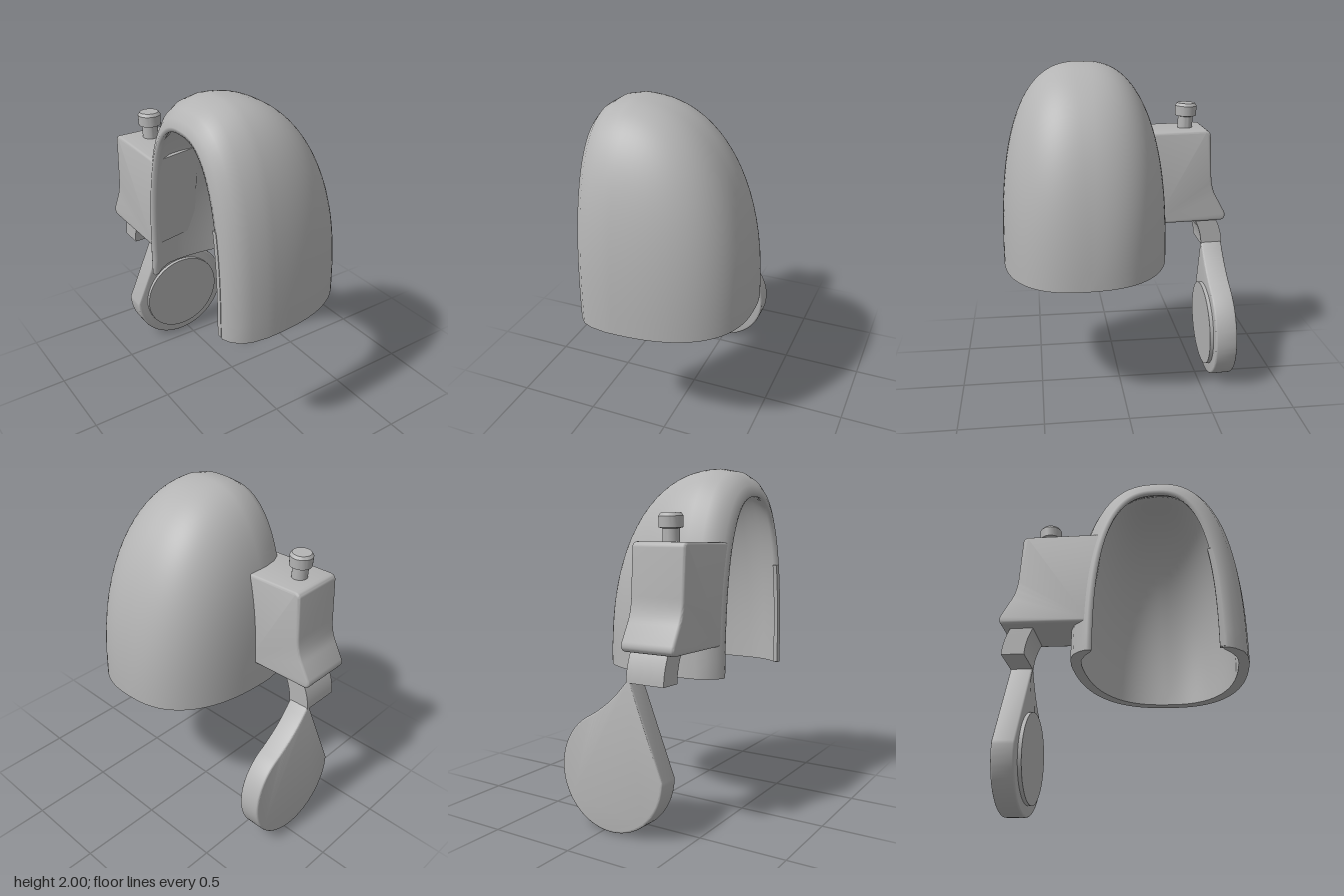
import * as THREE from 'three';
import { toCreasedNormals } from 'three/addons/utils/BufferGeometryUtils.js';

const grey = new THREE.MeshStandardMaterial({ color: 0xb4b4b4, side: THREE.DoubleSide });
grey.name = 'grey';

function add(parent, name, geometry) {
  const mesh = new THREE.Mesh(geometry, grey);
  mesh.name = name;
  parent.add(mesh);
  return mesh;
}

// Apply a rule to every vertex
function bend(geometry, rule) {
  const p = geometry.attributes.position;
  const v = new THREE.Vector3();
  for (let i = 0; i < p.count; i++) {
    v.fromBufferAttribute(p, i);
    rule(v);
    p.setXYZ(i, v.x, v.y, v.z);
  }
  geometry.computeVertexNormals();
  return geometry;
}

// Smooth surface through rows of points
function loft(rows) {
  const n = rows[0].length;
  const index = [];
  for (let i = 0; i < rows.length - 1; i++) {
    for (let j = 0; j < n - 1; j++) {
      const a = i * n + j, b = a + n;
      index.push(a, b, a + 1, b, b + 1, a + 1);
    }
  }
  const g = new THREE.BufferGeometry().setFromPoints(rows.flat());
  g.setIndex(index);
  g.computeVertexNormals();
  return g;
}

// One arch of the shell at x, scaled in height and width
function arch([x, sy, sz]) {
  const points = [];
  const N = 64;
  for (let j = 0; j <= N; j++) {
    const a = (j / N) * Math.PI;
    const c = j === N / 2 ? 0 : Math.cos(a);
    const s = j === N ? 0 : Math.sin(a);
    const z = 0.205 + 0.507 * sz * Math.sign(c) * Math.abs(c) ** 0.78;
    const h = sy * s ** 0.78;
    points.push(new THREE.Vector3(x, 0.805 + 1.195 * h - 0.03 * (z - 0.2) * (1 - h), z));
  }
  return points;
}

// Rounded closed end of the shell, from its tip to its widest arch
function dome(length, height, width) {
  const rows = [];
  for (let i = 0; i <= 24; i++) {
    const t = i === 24 ? 0 : Math.cos((i / 24) * Math.PI / 2);
    rows.push([-0.25 + length * t, height * (1 - t ** 2.25) ** (1 / 2.25), width * (1 - t ** 2.5) ** (1 / 2.5)]);
  }
  return rows;
}

function buildShell(parent) {
  const shell = new THREE.Group();
  shell.name = 'shell';
  parent.add(shell);
  const outer = [...dome(0.708, 1, 1),
    [-0.34, 0.985, 0.975], [-0.40, 0.955, 0.925], [-0.44, 0.915, 0.84], [-0.46, 0.88, 0.76]].map(arch);
  const inner = [...dome(0.648, 0.945, 0.88),
    [-0.32, 0.925, 0.86], [-0.38, 0.89, 0.80], [-0.43, 0.865, 0.72], [-0.457, 0.86, 0.70]].map(arch);
  add(shell, 'shellWall', loft([...outer, ...inner.slice().reverse()]));
  // Cut edge along the bottom
  for (const [name, j] of [['frontBottomEdge', 0], ['backBottomEdge', 64]]) {
    add(shell, name, loft([outer.map(r => r[j]), inner.map(r => r[j])]));
  }
  // Thin strip along the front lip
  const strip = bend(new THREE.BoxGeometry(0.025, 0.62, 0.03, 1, 10, 1), v => {
    const h = Math.max(0, v.y + 0.31);
    v.z += 0.2 + 0.362 * (1 - (h / 1.05) ** 2.56) ** 0.39;
    v.y = h + 0.8;
    v.x -= 0.449;
  });
  add(shell, 'lipStrip', toCreasedNormals(strip, 0.6));
}

function buildBracket(parent) {
  // Side profile: distance behind the shell, height
  const s = new THREE.Shape();
  s.moveTo(0.2, 1.015);
  s.lineTo(0.655, 1.025);
  s.quadraticCurveTo(0.685, 1.028, 0.67, 1.06);
  s.lineTo(0.62, 1.15);
  s.quadraticCurveTo(0.583, 1.21, 0.578, 1.3);
  s.lineTo(0.565, 1.55);
  s.quadraticCurveTo(0.565, 1.57, 0.545, 1.57);
  s.lineTo(0.2, 1.56);
  const g = new THREE.ExtrudeGeometry(s, {
    depth: 0.3, bevelEnabled: true, bevelSize: 0.015, bevelThickness: 0.015, bevelSegments: 3, curveSegments: 8,
  });
  g.rotateY(Math.PI / 2).translate(-0.435, 0, 0);
  // Front end follows the shell wall
  bend(g, v => {
    if (v.z > -0.3) v.z = -0.25 + 0.08 * (v.y - 1) / 0.58 + 0.07 * (-0.12 - v.x) / 0.33;
  });
  add(parent, 'bracket', toCreasedNormals(g, 0.6));
}

function buildKnob(parent) {
  const profile = [[0, -0.02], [0.046, -0.02], [0.046, 0.075], [0.065, 0.08], [0.067, 0.14], [0.055, 0.157], [0, 0.157]]
    .map(([r, y]) => new THREE.Vector2(r, y));
  const knob = add(parent, 'knob', toCreasedNormals(new THREE.LatheGeometry(profile, 40), 0.5));
  knob.position.set(-0.285, 1.578, -0.447);
  knob.rotation.x = -0.03;
}

function buildPaddle(parent) {
  const paddle = new THREE.Group();
  paddle.name = 'paddle';
  paddle.position.z = -0.575;
  paddle.rotation.x = 0.033;
  parent.add(paddle);
  // Disc with a shoulder rising to the neck
  const b = 0.012;
  const s = new THREE.Shape();
  s.moveTo(-0.385 + b, 0.85);
  s.absarc(-0.052, 0.337, 0.333 - b, Math.PI, Math.PI * 2 + 1.1, false);
  s.bezierCurveTo(0.0, 0.68, -0.06, 0.73, -0.12, 0.80);
  s.quadraticCurveTo(-0.145, 0.83, -0.15 - b, 0.85);
  const g = new THREE.ExtrudeGeometry(s, {
    depth: 0.133 - 2 * b, bevelEnabled: true, bevelSize: b, bevelThickness: b, bevelSegments: 3, curveSegments: 40,
  });
  g.translate(0, 0, -0.133 + b);
  add(paddle, 'disc', toCreasedNormals(g, 0.6));
  // Neck curling forward under the bracket
  const neck = bend(new THREE.BoxGeometry(0.235, 0.2, 0.133, 1, 10, 1), v => {
    v.x -= 0.2675;
    v.y += 0.945;
    v.z += 1.5 * Math.max(0, v.y - 0.85) ** 2 - 0.0665;
  });
  add(paddle, 'neck', toCreasedNormals(neck, 0.6));
  // Round pad on the front
  const pad = new THREE.CylinderGeometry(0.266, 0.266, 0.04, 64).rotateX(Math.PI / 2);
  add(paddle, 'pad', pad).position.set(-0.053, 0.336, 0.002);
}

export function createModel() {
  const model = new THREE.Group();
  model.name = 'cupWithPaddle';
  buildShell(model);
  buildBracket(model);
  buildKnob(model);
  buildPaddle(model);
  return model;
}
